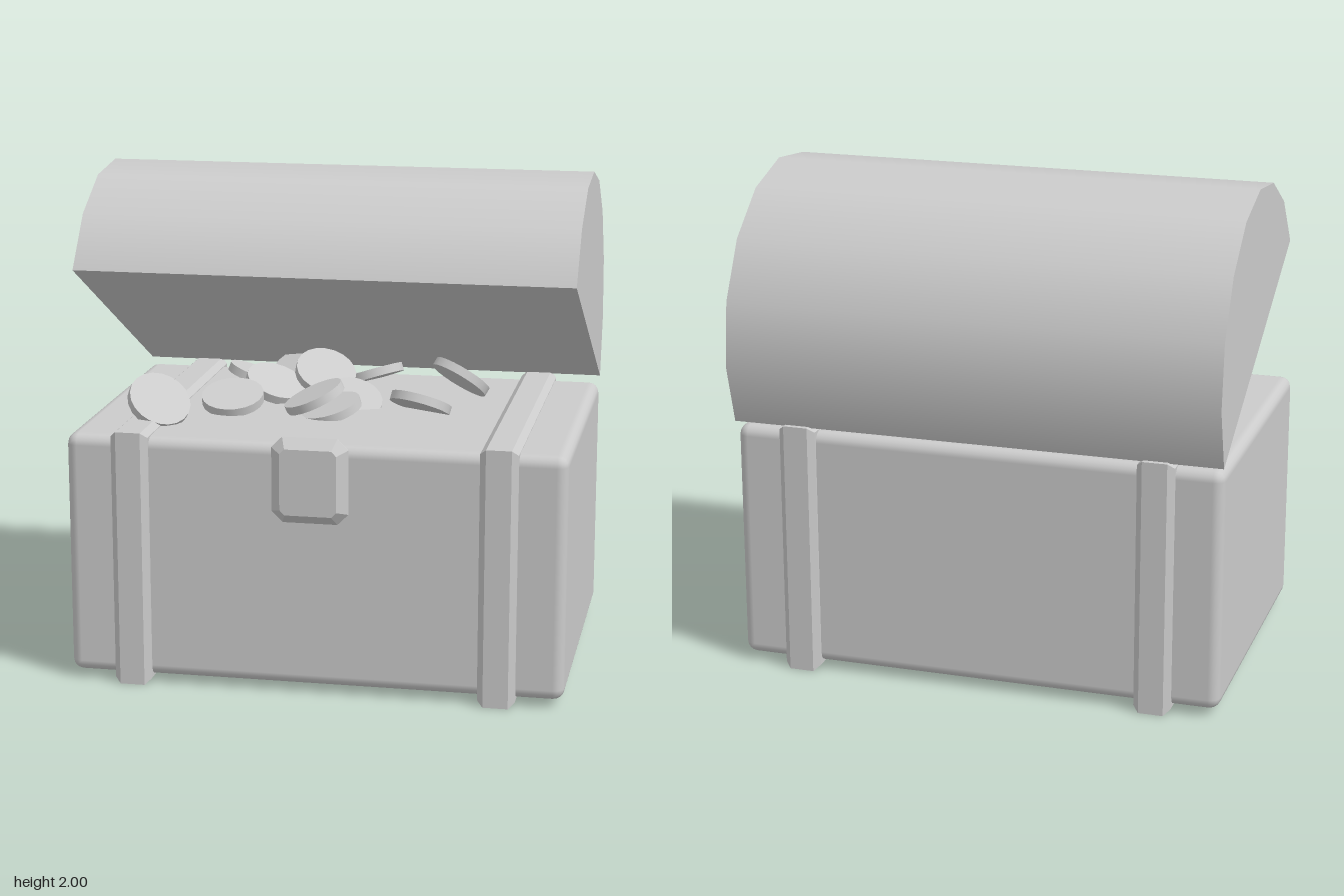
import * as THREE from 'three';
import { RoundedBoxGeometry } from 'three/addons/geometries/RoundedBoxGeometry.js';

const material = new THREE.MeshStandardMaterial({ color: 0xcccccc });

function part(name, geometry, x = 0, y = 0, z = 0) {
  const mesh = new THREE.Mesh(geometry, material);
  mesh.name = name;
  mesh.position.set(x, y, z);
  return mesh;
}

// Rectangle with cut corners, grown by a one-step bevel to w x h x d, centred
function bevelledSlab(w, h, d, bevelSize, bevelThickness, cut) {
  const a = w / 2 - bevelSize, b = h / 2 - bevelSize;
  const points = cut > 0
    ? [[a, -b + cut], [a, b - cut], [a - cut, b], [cut - a, b], [-a, b - cut], [-a, cut - b], [cut - a, -b], [a - cut, -b]]
    : [[a, -b], [a, b], [-a, b], [-a, -b]];
  const shape = new THREE.Shape(points.map(([x, y]) => new THREE.Vector2(x, y)));
  const geometry = new THREE.ExtrudeGeometry(shape, {
    depth: d - 2 * bevelThickness, bevelEnabled: true, bevelSegments: 1, bevelSize, bevelThickness,
  });
  return geometry.center();
}

// Half-cylinder lid, hinged open at the back
function createLid() {
  const lid = new THREE.Group();
  lid.name = 'lid';
  const r = 0.662;
  const dome = new THREE.CylinderGeometry(r, r, 2, 8, 1, false, 0, Math.PI).rotateZ(Math.PI / 2);
  const underside = new THREE.PlaneGeometry(2, 2 * r).rotateX(Math.PI / 2);
  lid.add(part('lidDome', dome), part('lidUnderside', underside));
  lid.position.set(0, 1.345, -0.09);
  lid.rotation.x = -0.478;
  return lid;
}

// Coin pile: position, then the direction each coin faces
const COINS = [
  [-0.69, 1.1, 0.37, 0.45, 0.72, 0.5],
  [-0.44, 1.07, 0.13, 0, 0.94, 0.3],
  [-0.31, 1.08, -0.1, 0.35, 0.9, 0.25],
  [-0.11, 1.12, -0.17, 0.3, 0.8, 0.45],
  [-0.1, 1.085, 0.12, -0.4, 0.9, 0.1],
  [0.03, 1.04, -0.01, 0.2, 0.85, 0.45],
  [0.33, 1.06, 0.05, 0.2, 0.9, -0.4],
  [0.46, 1.12, -0.2, 0.45, 0.8, -0.42],
  [-0.28, 1.07, -0.47, -0.3, 0.85, 0.4],
  [-0.45, 1.05, -0.37, 0.3, 0.85, -0.1],
  [0.05, 1.06, -0.44, -0.3, 0.9, -0.2],
  [-0.03, 1.04, 0.13, -0.25, 0.9, 0.15],
];

function createCoins() {
  const coins = new THREE.Group();
  coins.name = 'coins';
  const geometry = new THREE.CylinderGeometry(0.128, 0.128, 0.036, 20);
  const up = new THREE.Vector3(0, 1, 0);
  for (const [x, y, z, nx, ny, nz] of COINS) {
    const coin = part('coin', geometry, x, y, z);
    coin.quaternion.setFromUnitVectors(up, new THREE.Vector3(nx, ny, nz).normalize());
    coins.add(coin);
  }
  return coins;
}

export function createModel() {
  const chest = new THREE.Group();
  chest.name = 'treasureChest';

  // Box body, filled to the brim
  chest.add(part('body', new RoundedBoxGeometry(2, 0.99, 1.325, 2, 0.045), 0, 0.525, -0.005));

  // Straps wrapped around both ends of the body
  const strap = bevelledSlab(1.39, 1.045, 0.15, 0.022, 0.025, 0).rotateY(Math.PI / 2);
  for (const side of [-1, 1]) {
    chest.add(part(side > 0 ? 'leftStrap' : 'rightStrap', strap, side * 0.735, 0.5225, -0.005));
  }

  // Lock plate on the front
  chest.add(part('lockPlate', bevelledSlab(0.305, 0.345, 0.09, 0.04, 0.043, 0.02), 0, 0.892, 0.703));

  chest.add(createLid(), createCoins());
  return chest;
}
